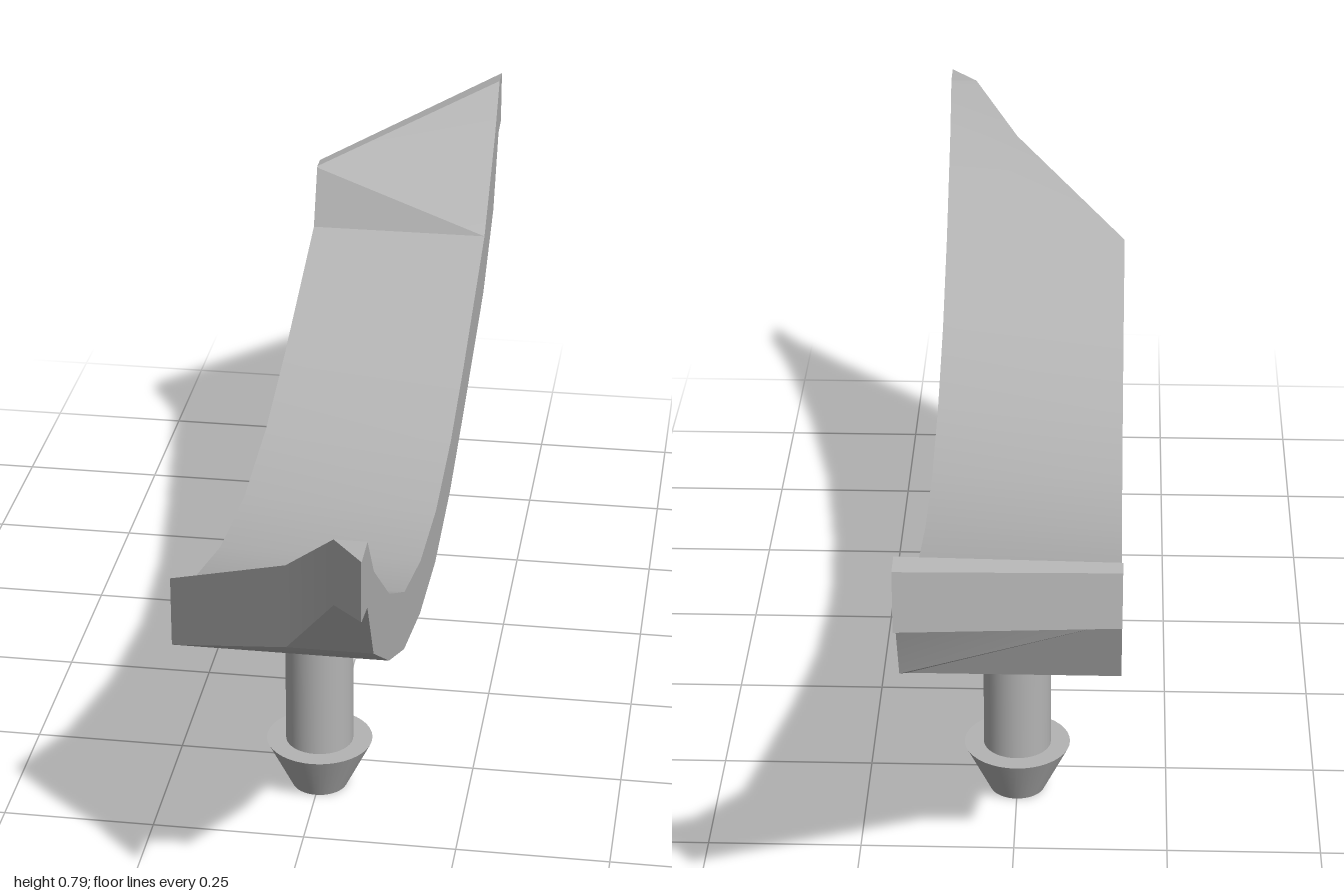
import * as THREE from 'three';
import { toCreasedNormals } from 'three/addons/utils/BufferGeometryUtils.js';

const grey = new THREE.MeshStandardMaterial({ color: 0xb4b4b4 });
grey.name = 'grey';

// Curved band: [z, top, bottom] down its length, from the front tip to the back
const profile = [
  [1, 0.79, 0.695], [0.94, 0.79, 0.685], [0.87, 0.705, 0.57], [0.69, 0.57, 0.455],
  [0.5, 0.47, 0.367], [0.285, 0.41, 0.312], [0.065, 0.388, 0.29], [-0.16, 0.41, 0.312],
  [-0.36, 0.46, 0.36], [-0.71, 0.57, 0.455], [-0.88, 0.705, 0.555],
  [-0.955, 0.79, 0.685], [-1, 0.79, 0.693],
];
// The -x edge of the raised back lip departs from the profile
const lipEdge = [[-0.753, 0.673, 0.575], [-0.755, 0.675, 0.58], [-0.787, 0.675, 0.582]];

function bandGeometry() {
  const sections = profile.map(([z, top, bottom], i) => {
    const xr = 0.159 + 0.007 * z;
    const xl = z > 0.69 ? Math.min(-0.17 + (z - 0.69) * 1.15, xr - 0.001) : -0.17;
    const [lz, lt, lb] = i > 9 ? lipEdge[i - 10] : [z, top, bottom];
    return [[xl, lt, lz], [xr, top, z], [xr, bottom, z], [xl, lb, lz]];
  });
  const pos = [];
  const tri = (...corners) => corners.forEach((c) => pos.push(...c));
  for (let i = 0; i < sections.length - 1; i++) {
    const s = sections[i], t = sections[i + 1];
    for (let k = 0; k < 4; k++) {
      const m = (k + 1) % 4;
      if (k === 2) { // underside, split along the other diagonal
        tri(s[k], s[m], t[m]);
        tri(s[k], t[m], t[k]);
      } else {
        tri(s[k], s[m], t[k]);
        tri(s[m], t[m], t[k]);
      }
    }
  }
  // End caps
  const f = sections[0], b = sections[sections.length - 1];
  tri(f[0], f[2], f[1]);
  tri(f[0], f[3], f[2]);
  tri(b[0], b[1], b[2]);
  tri(b[0], b[2], b[3]);
  const g = new THREE.BufferGeometry();
  g.setAttribute('position', new THREE.Float32BufferAttribute(pos, 3));
  return toCreasedNormals(g, Math.PI / 9);
}

// Snap-in peg: a round shaft with a tapered barb at the foot
function makePeg(name, z) {
  const peg = new THREE.Group();
  peg.name = name;
  const shaft = new THREE.Mesh(new THREE.CylinderGeometry(0.056, 0.056, 0.29, 40), grey);
  shaft.name = 'pegShaft';
  shaft.position.y = 0.225;
  const barb = new THREE.Mesh(new THREE.CylinderGeometry(0.088, 0.046, 0.086, 40), grey);
  barb.name = 'pegBarb';
  barb.position.y = 0.043;
  peg.add(shaft, barb);
  peg.position.z = z;
  return peg;
}

export function createModel() {
  const model = new THREE.Group();
  model.name = 'curvedClip';
  const band = new THREE.Mesh(bandGeometry(), grey);
  band.name = 'curvedBand';
  model.add(band, makePeg('frontPeg', 0.325), makePeg('backPeg', -0.307));
  return model;
}
